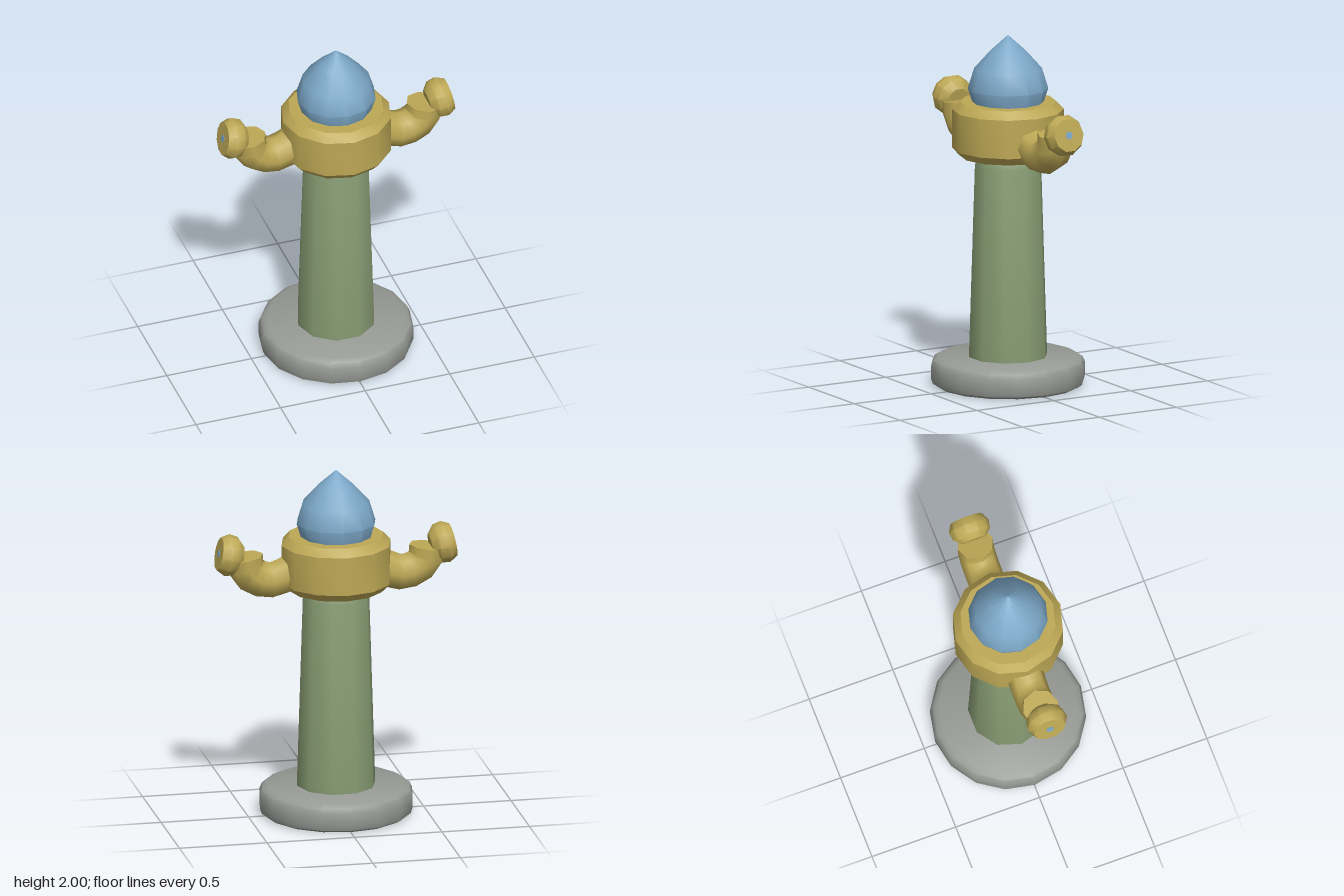
import * as THREE from 'three';
import { toCreasedNormals } from 'three/addons/utils/BufferGeometryUtils.js';

const mat = (name, color) => Object.assign(new THREE.MeshStandardMaterial({ color }), { name });

export function createModel() {
  const stone = mat('stone grey', 0x979a95);
  const green = mat('post green', 0x879c73);
  const gold = mat('ochre gold', 0xbda855);
  const blue = mat('cap blue', 0x7ba7c7);

  const model = new THREE.Group();
  model.name = 'pillar';

  // Turned part from a bottom-to-top [radius, height] profile
  function turned(name, material, sides, profile, phi = 0, parent = model) {
    const pts = profile.map(([r, y]) => new THREE.Vector2(r, y));
    const geo = toCreasedNormals(new THREE.LatheGeometry(pts, sides, phi), 0.7);
    const mesh = new THREE.Mesh(geo, material);
    mesh.name = name;
    parent.add(mesh);
    return mesh;
  }

  turned('base', stone, 16, [[0, 0], [0.4, 0], [0.425, 0.015], [0.435, 0.045],
    [0.435, 0.115], [0.422, 0.147], [0.39, 0.165], [0, 0.165]]);
  turned('post', green, 10, [[0, 0.15], [0.223, 0.15], [0.223, 0.2],
    [0.19, 1.26], [0.175, 1.31], [0.16, 1.33], [0, 1.33]], Math.PI / 2);
  turned('collar', gold, 12, [[0, 1.31], [0.27, 1.31], [0.312, 1.355],
    [0.312, 1.575], [0.27, 1.62], [0, 1.62]]);
  turned('pointedCap', blue, 12, [[0, 1.6], [0.195, 1.6], [0.225, 1.695],
    [0.19, 1.81], [0.1, 1.91], [0, 2]]);

  // Bent arm with a disc at its end; the other side is the same arm turned half round
  function arm(name) {
    const group = new THREE.Group();
    group.name = name;
    const path = new THREE.CatmullRomCurve3([
      [0.2, 1.45], [0.29, 1.405], [0.37, 1.38], [0.455, 1.4], [0.513, 1.455], [0.522, 1.525],
    ].map(([x, y]) => new THREE.Vector3(x, y, 0)));
    const bend = new THREE.Mesh(new THREE.TubeGeometry(path, 7, 0.104, 8), gold);
    bend.name = 'elbow';
    const end = new THREE.Mesh(new THREE.CircleGeometry(0.104, 8), gold);
    end.name = 'elbowEnd';
    end.position.copy(path.getPoint(1));
    end.lookAt(path.getPoint(1).add(path.getTangent(1)));
    group.add(bend, end);

    const disc = turned('disc', gold, 10, [[0, -0.065], [0.068, -0.065], [0.11, -0.028],
      [0.118, 0.02], [0.094, 0.065], [0, 0.065]], 0, group);
    disc.position.set(0.605, 1.537, 0);
    disc.rotation.z = -1.37;

    // Small stud at the middle of the disc
    const stud = new THREE.Mesh(new THREE.CylinderGeometry(0.022, 0.022, 0.006, 8), blue);
    stud.name = 'stud';
    stud.position.y = 0.065;
    disc.add(stud);
    model.add(group);
    return group;
  }
  arm('leftArm');
  arm('rightArm').rotation.y = Math.PI;

  return model;
}
